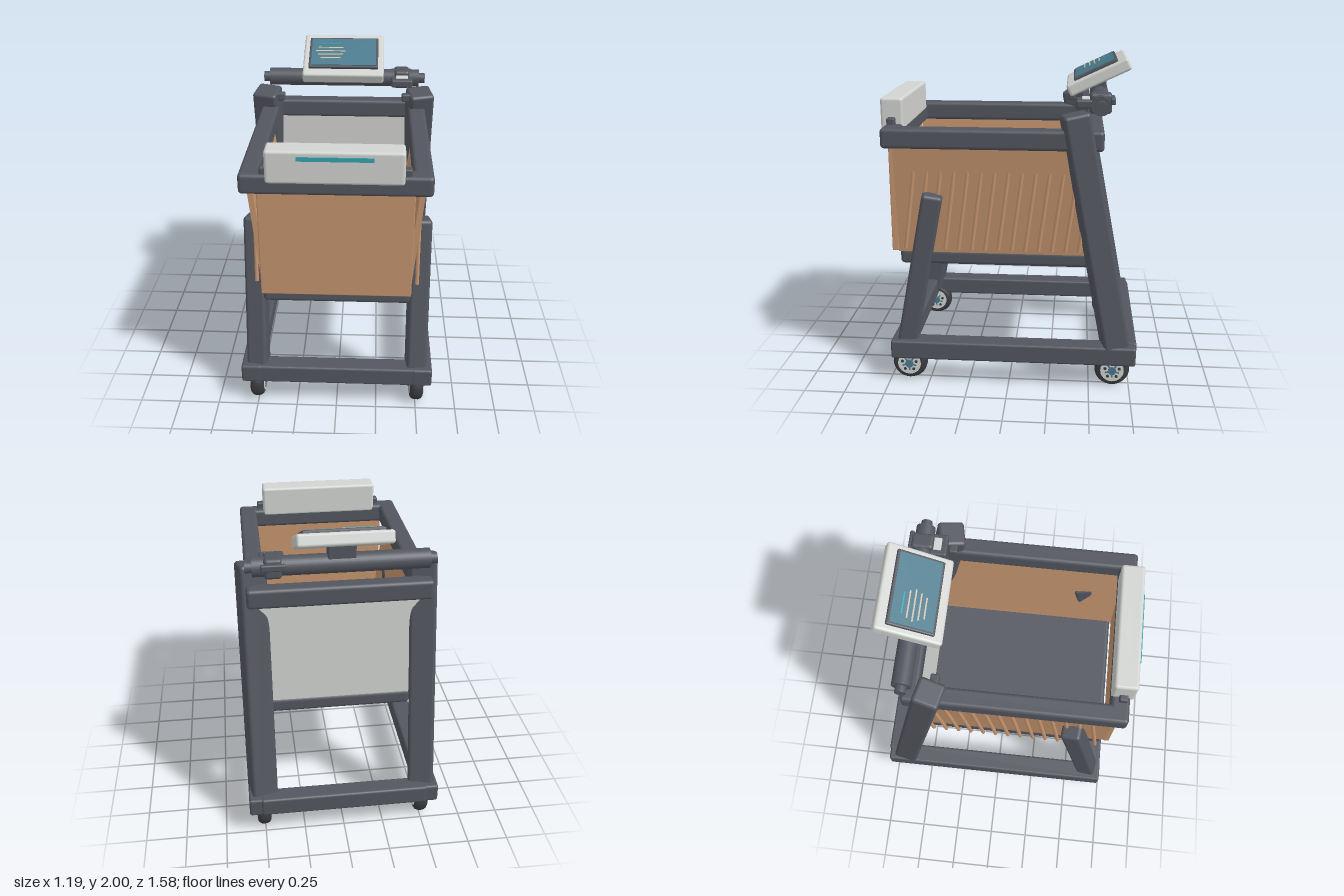
import * as THREE from 'three';
import { RoundedBoxGeometry } from 'three/addons/geometries/RoundedBoxGeometry.js';

const mat = (name, color) => {
  const m = new THREE.MeshStandardMaterial({ color });
  m.name = name;
  return m;
};

export function createModel() {
  const dark = mat('dark frame', 0x53565f);
  const black = mat('black rubber', 0x3a3c41);
  const tan = mat('tan panel', 0xc4946e);
  const light = mat('light casing', 0xd2d4d1);
  const glass = mat('screen blue', 0x4b7b8e);
  const teal = mat('teal light', 0x35a3ae);
  const cream = mat('cream line', 0xc9c0ad);

  const root = new THREE.Group();
  root.name = 'cart';

  const add = (name, geo, m, x = 0, y = 0, z = 0, parent = root) => {
    const mesh = new THREE.Mesh(geo, m);
    mesh.name = name;
    mesh.position.set(x, y, z);
    parent.add(mesh);
    return mesh;
  };
  const box = (w, h, d, r = 0) =>
    r ? new RoundedBoxGeometry(w, h, d, 3, r) : new THREE.BoxGeometry(w, h, d);
  const rod = (r, len, seg = 24) => new THREE.CylinderGeometry(r, r, len, seg).rotateZ(Math.PI / 2);

  // Extrudes an outline in x-y between two z values
  const slab = (pts, z0, z1) => {
    const shape = new THREE.Shape(pts.map(([x, y]) => new THREE.Vector2(x, y)));
    return new THREE.ExtrudeGeometry(shape, { depth: z1 - z0, bevelEnabled: false }).translate(0, 0, z0);
  };

  // Leaning post from a lower to an upper point (z, y), turned about its own axis
  const post = (name, w, x, z0, y0, z1, y1, yaw) => {
    const len = Math.hypot(z1 - z0, y1 - y0);
    const geo = box(w, len, w, 0.022).rotateY(yaw);
    const p = add(name, geo, dark, x, (y0 + y1) / 2, (z0 + z1) / 2);
    p.rotation.x = Math.atan2(z1 - z0, y1 - y0);
  };

  // Base frame
  for (const s of [-1, 1]) add('baseSideRail', box(0.125, 0.12, 1.52, 0.015), dark, s * 0.533, 0.22, -0.025);
  add('baseFrontRail', box(1.18, 0.12, 0.12, 0.015), dark, 0, 0.22, 0.673);
  add('baseRearRail', box(1.04, 0.12, 0.115, 0.015), dark, 0, 0.222, -0.735);

  for (const s of [-1, 1]) {
    post('frontLeg', 0.125, s * 0.495, 0.652, 0.2, 0.459, 1.21, s * 0.12);
    post('rearLeg', 0.16, s * 0.505, -0.668, 0.21, -0.378, 1.708, s * 0.22);
    add('legPin', box(0.06, 0.05, 0.05, 0.01), dark, s * 0.415, 1.67, -0.36);

    // Wheels
    for (const z of [0.63, -0.645]) {
      const wheel = new THREE.Group();
      wheel.name = 'wheel';
      wheel.position.set(s * 0.505, 0.108, z);
      root.add(wheel);
      const profile = [[0.06, -0.042], [0.085, -0.042], [0.1, -0.032], [0.108, -0.014],
        [0.108, 0.014], [0.1, 0.032], [0.085, 0.042], [0.06, 0.042]];
      const tire = new THREE.LatheGeometry(profile.map(([a, b]) => new THREE.Vector2(a, b)), 32);
      add('tire', tire.rotateZ(Math.PI / 2), black, 0, 0, 0, wheel);
      add('hub', rod(0.073, 0.092), light, 0, 0, 0, wheel);
      add('hubCap', rod(0.026, 0.108, 16), glass, 0, 0, 0, wheel);
      for (let i = 0; i < 5; i++) {
        const a = Math.PI / 2 + i * Math.PI * 0.4;
        add('hubBolt', rod(0.01, 0.098, 8), black, 0, 0.046 * Math.sin(a), 0.046 * Math.cos(a), wheel);
        const spoke = add('hubSpoke', box(0.097, 0.032, 0.01), glass, 0, 0.03 * Math.sin(a + 0.63), 0.03 * Math.cos(a + 0.63), wheel);
        spoke.rotation.x = Math.PI / 2 - (a + 0.63);
      }
    }
  }

  // Basket floor and its pads
  add('basketFloor', box(0.88, 0.095, 1.19, 0.025), dark, 0, 0.787, 0.088);
  for (const x of [-0.3, 0.3]) for (const z of [0.47, -0.3])
    add('floorPad', box(0.115, 0.025, 0.075, 0.006), light, x, 0.731, z);

  // Basket walls: flared sides, upright front and back
  for (const s of [-1, 1]) {
    const pts = [[0.405, 0.82], [0.437, 0.82], [0.503, 1.51], [0.471, 1.51]].map(([x, y]) => [s * x, y]);
    add('sidePanel', slab(pts, -0.47, 0.69), tan);
    const height = 0.49, lean = 0.065;
    for (let i = 0; i < 14; i++) {
      const rib = add('sideRib', new THREE.CylinderGeometry(0.012, 0.012, height, 10), tan,
        s * 0.479, 1.1, 0.605 - i * 0.0815);
      rib.rotation.x = -Math.atan2(lean, height);
    }
  }
  add('frontPanel', box(0.885, 0.68, 0.04, 0.006), tan, 0, 1.165, 0.71);
  add('rearPanel', slab([[-0.43, 0.82], [0.43, 0.82], [0.485, 1.51], [-0.485, 1.51]], -0.5, -0.465), light);

  // Basket rim
  for (const s of [-1, 1]) add('rimSide', box(0.112, 0.12, 1.305, 0.022), dark, s * 0.484, 1.55, 0.102);
  add('rimFront', box(1.08, 0.12, 0.108, 0.022), dark, 0, 1.55, 0.702);
  add('rimRear', box(1.08, 0.12, 0.1, 0.022), dark, 0, 1.55, -0.505);

  // Front light unit
  add('frontUnit', box(0.765, 0.195, 0.138, 0.018), light, -0.003, 1.668, 0.714);
  add('frontLightStrip', box(0.42, 0.024, 0.009), teal, 0, 1.723, 0.785);
  for (const s of [-1, 1]) add('frontUnitBracket', box(0.06, 0.06, 0.05, 0.01), dark, s * 0.39, 1.62, 0.715);

  // Handle bar with end stubs
  add('handleBar', rod(0.057, 1.0, 32), dark, 0, 1.75, -0.53);
  add('handleStub', rod(0.033, 1.08), dark, 0, 1.75, -0.53);

  // Thumb control on the handle
  add('controlBase', box(0.14, 0.05, 0.1, 0.012), dark, 0.385, 1.752, -0.435);
  add('controlClip', box(0.14, 0.04, 0.03, 0.01), dark, 0.385, 1.77, -0.6);
  add('controlStrap', box(0.1, 0.12, 0.13, 0.02), dark, 0.385, 1.753, -0.53);
  add('controlButton', box(0.08, 0.016, 0.048, 0.006), light, 0.385, 1.779, -0.443);

  // Tilted display
  add('displayNeck', box(0.16, 0.12, 0.08, 0.01), dark, 0, 1.82, -0.53);
  const display = new THREE.Group();
  display.name = 'display';
  display.position.set(0, 1.882, -0.519);
  display.rotation.x = 0.44;
  root.add(display);
  add('displayCase', box(0.53, 0.075, 0.4, 0.016), light, -0.002, 0, 0, display);
  add('displayBezel', box(0.455, 0.024, 0.285, 0.008), dark, -0.002, 0.044, 0, display);
  add('displayGlass', box(0.425, 0.008, 0.253), glass, -0.002, 0.055, 0, display);
  [0.13, 0.165, 0.195, 0.165, 0.13].forEach((w, i) =>
    add('displayLine', box(w, 0.007, 0.009), i ? cream : teal, -0.088, 0.06, (i - 2) * 0.033 - 0.003, display));

  return root;
}
